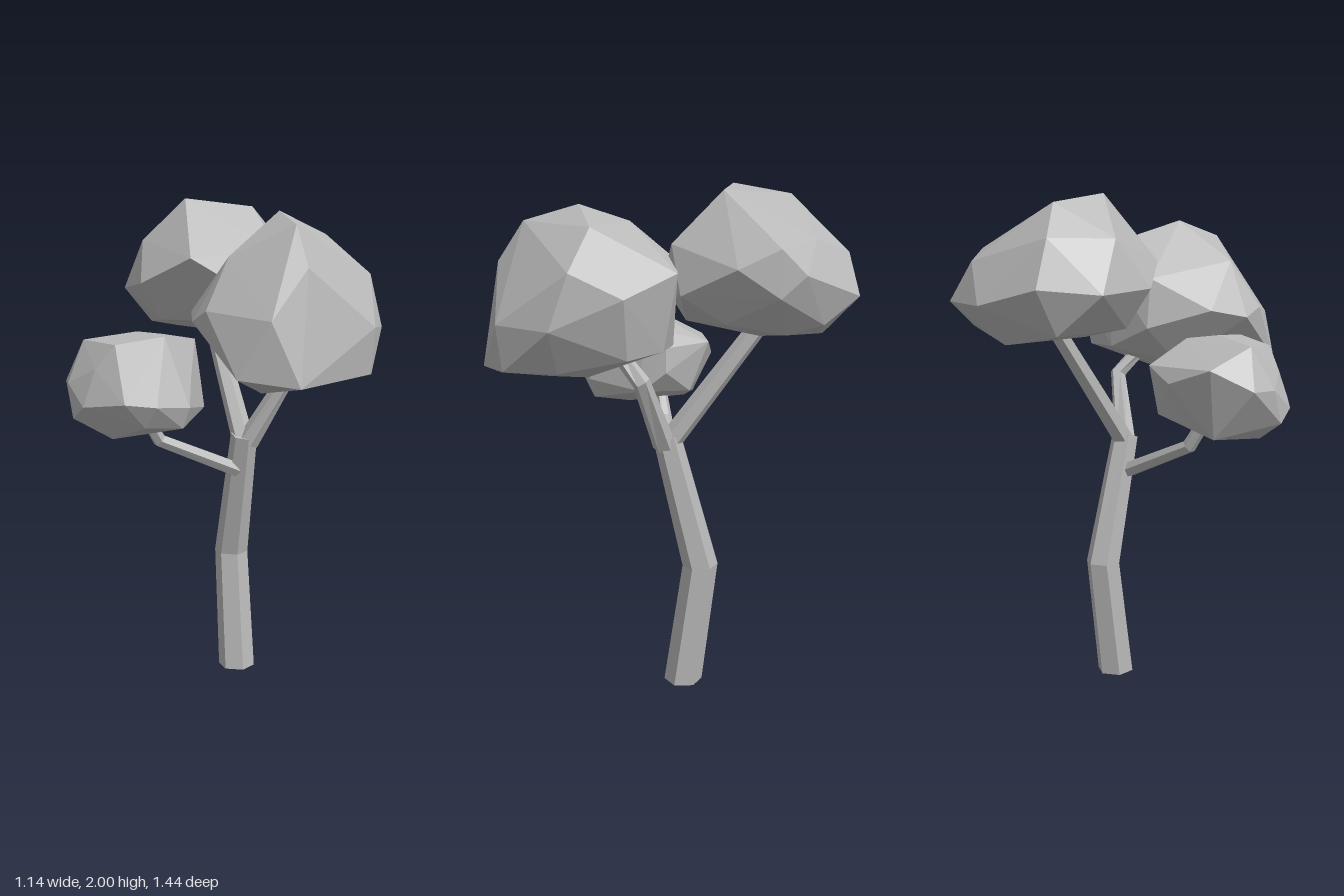
import * as THREE from 'three';
import { ConvexGeometry } from 'three/addons/geometries/ConvexGeometry.js';

const SIDES = 6;

// Six-sided tapering limb lofted along a path of [x, y, z, radius] stations.
function limbGeometry(path) {
  const points = path.map(([x, y, z]) => new THREE.Vector3(x, y, z));
  const rings = points.map((p, i) => {
    const before = points[Math.max(i - 1, 0)];
    const after = points[Math.min(i + 1, points.length - 1)];
    const t = new THREE.Vector3();
    if (after !== p) t.add(after.clone().sub(p).normalize());
    if (before !== p) t.add(p.clone().sub(before).normalize());
    if (p.y === 0) t.set(0, 1, 0); // a foot on the ground is cut level
    t.normalize();
    const u = new THREE.Vector3(0, 0, 1).addScaledVector(t, -t.z).normalize();
    const v = u.clone().cross(t);
    return Array.from({ length: SIDES }, (_, k) => {
      const a = (k / SIDES) * Math.PI * 2;
      return p.clone()
        .addScaledVector(u, Math.cos(a) * path[i][3])
        .addScaledVector(v, Math.sin(a) * path[i][3]);
    });
  });

  const corners = [];
  for (let i = 0; i < rings.length - 1; i++) {
    const lower = rings[i], upper = rings[i + 1];
    for (let k = 0; k < SIDES; k++) {
      const n = (k + 1) % SIDES;
      corners.push(lower[n], lower[k], upper[k], lower[n], upper[k], upper[n]);
    }
  }
  // End caps
  const first = rings[0], last = rings[rings.length - 1];
  for (let k = 1; k < SIDES - 1; k++) {
    corners.push(first[0], first[k], first[k + 1], last[0], last[k + 1], last[k]);
  }
  const geometry = new THREE.BufferGeometry().setFromPoints(corners);
  geometry.computeVertexNormals();
  return geometry;
}

// Faceted leaf clump: the convex skin around a few corner points.
function clumpGeometry(corners) {
  return new ConvexGeometry(corners.map((c) => new THREE.Vector3(...c)));
}

const limbs = {
  trunk: [[0.173, 0, -0.065, 0.077], [0.173, 0.5, -0.132, 0.071], [0.173, 1.03, 0.002, 0.055]],
  backBranch: [[0.172, 1.0, 0.0, 0.046], [0.172, 1.5, -0.375, 0.036]],
  frontBranch: [[0.185, 1.0, 0.012, 0.046], [0.317, 1.27, 0.1, 0.034], [0.265, 1.38, 0.19, 0.029]],
  sideBranch: [[0.17, 0.872, -0.02, 0.034], [-0.195, 1.028, 0.0, 0.029], [-0.27, 1.15, 0.02, 0.025]],
};

const clumps = {
  backFoliage: [
    // crown
    [0.01, 2.0, -0.26], [0.29, 1.97, -0.2], [0.04, 1.96, -0.48],
    // shoulders
    [-0.04, 1.83, -0.58], [0.3, 1.75, -0.66], [0.42, 1.8, -0.52], [-0.15, 1.83, -0.35],
    [-0.05, 1.75, -0.03], [0.33, 1.78, -0.01], [0.55, 1.77, -0.38], [0.55, 1.68, -0.47],
    [0.55, 1.7, -0.23],
    // widest band
    [-0.06, 1.65, -0.65], [0.42, 1.6, -0.68], [0.19, 1.59, -0.72], [0.555, 1.6, -0.38],
    [0.42, 1.6, -0.04], [0.15, 1.63, 0.02], [-0.2, 1.65, -0.22], [-0.2, 1.63, -0.46],
    // underside
    [0.2, 1.44, -0.59], [0.0, 1.47, -0.37], [0.42, 1.46, -0.42], [0.35, 1.45, -0.33],
    [0.2, 1.49, -0.07], [-0.1, 1.5, -0.25], [-0.05, 1.48, -0.55], [0.42, 1.5, -0.2],
    [0.45, 1.5, -0.55],
  ],
  frontFoliage: [
    // crown
    [0.17, 1.92, 0.33], [0.14, 1.86, 0.54], [0.39, 1.84, 0.28], [0.23, 1.86, 0.14],
    // shoulders
    [-0.06, 1.75, 0.4], [0.04, 1.68, 0.02], [0.23, 1.72, -0.03], [0.42, 1.68, -0.03],
    [0.55, 1.69, 0.35], [0.14, 1.71, 0.64],
    // widest band
    [0.565, 1.6, 0.16], [0.565, 1.49, 0.42], [0.42, 1.5, 0.62], [-0.02, 1.53, 0.69],
    [-0.17, 1.56, 0.46], [-0.185, 1.52, 0.36], [-0.13, 1.55, 0.2], [0.04, 1.48, 0.0],
    // underside
    [0.08, 1.3, 0.72], [0.42, 1.33, 0.6], [0.47, 1.33, 0.4], [-0.12, 1.33, 0.63],
    [0.15, 1.27, 0.45], [0.03, 1.265, 0.5], [0.3, 1.29, 0.3], [0.05, 1.32, 0.2],
    [0.23, 1.4, -0.02], [0.4, 1.4, 0.02], [0.5, 1.38, 0.15],
  ],
  sideFoliage: [
    // crown
    [-0.3, 1.47, 0.05], [-0.5, 1.44, 0.0], [-0.18, 1.455, 0.0], [-0.25, 1.46, 0.24],
    [-0.43, 1.43, 0.2], [-0.08, 1.44, 0.1],
    // shoulders
    [-0.45, 1.36, -0.17], [-0.15, 1.36, -0.18], [-0.03, 1.35, 0.0], [-0.5, 1.34, 0.17],
    // widest band
    [-0.27, 1.3, -0.2], [-0.02, 1.25, 0.0], [-0.15, 1.3, 0.25], [-0.18, 1.2, 0.32],
    [-0.32, 1.21, 0.36], [-0.43, 1.22, 0.32], [-0.575, 1.28, 0.05], [-0.56, 1.28, -0.05],
    [-0.55, 1.2, 0.18],
    // underside
    [-0.04, 1.17, 0.1], [-0.35, 1.13, 0.31], [-0.2, 1.12, 0.3], [-0.57, 1.15, 0.1],
    [-0.43, 1.07, 0.15], [-0.22, 1.1, 0.15], [-0.3, 1.1, 0.0], [-0.4, 1.09, -0.09],
    [-0.25, 1.14, -0.12], [-0.12, 1.16, -0.1],
  ],
};

export function createModel() {
  const grey = new THREE.MeshStandardMaterial({ color: 0xb8b8b8, flatShading: true });
  grey.name = 'plainGrey';

  const tree = new THREE.Group();
  tree.name = 'tree';
  const add = (name, geometry) => {
    const mesh = new THREE.Mesh(geometry, grey);
    mesh.name = name;
    tree.add(mesh);
  };
  for (const [name, path] of Object.entries(limbs)) add(name, limbGeometry(path));
  for (const [name, corners] of Object.entries(clumps)) add(name, clumpGeometry(corners));
  return tree;
}
